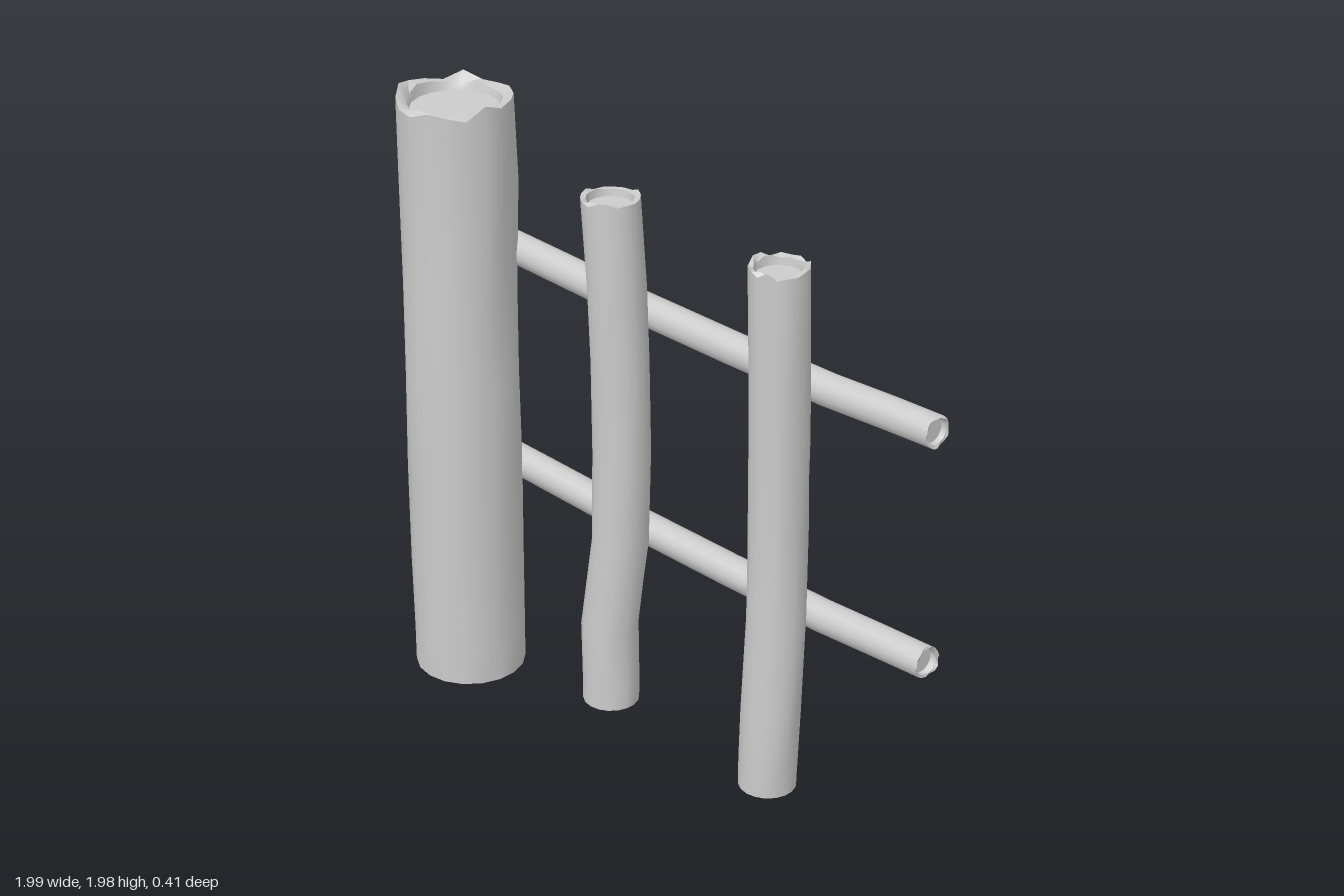
import * as THREE from 'three';
import { toCreasedNormals } from 'three/addons/utils/BufferGeometryUtils.js';

const SIDES = 18;

function seeded(seed) {
  return () => {
    seed = (seed * 16807) % 2147483647;
    return seed / 2147483647;
  };
}

// A log grown along 'x' or 'y': stations are [x, y, z, radius], the far end
// finishes in a splintered rim around a sunken heartwood disc.
function log(name, axis, stations, { jag, sunk, wobble, seed }) {
  const rand = seeded(seed);
  const along = axis === 'y' ? new THREE.Vector3(0, 1, 0) : new THREE.Vector3(1, 0, 0);
  const u = axis === 'y' ? new THREE.Vector3(0, 0, 1) : new THREE.Vector3(0, 1, 0);
  const v = along.clone().cross(u);
  const positions = [];
  const index = [];

  const ring = ([x, y, z, r], offset, rough) => {
    for (let j = 0; j < SIDES; j++) {
      const a = (j / SIDES) * Math.PI * 2;
      const rr = r * (1 + (rand() - 0.5) * rough);
      const p = new THREE.Vector3(x, y, z)
        .addScaledVector(u, Math.cos(a) * rr)
        .addScaledVector(v, Math.sin(a) * rr)
        .addScaledVector(along, offset(j));
      positions.push(p.x, p.y, p.z);
    }
  };

  const last = stations.length - 1;
  const [ex, ey, ez, er] = stations[last];
  const splinters = Array.from({ length: SIDES }, () => (rand() - 0.5) * 2 * jag);
  const flat = () => 0;

  // near end cap, bark, then the rim stepping in and down to the heartwood
  ring([...stations[0].slice(0, 3), 0], flat, 0);
  stations.forEach((s, i) =>
    ring(s, i === last ? (j) => splinters[j] : flat, i === 0 || i === last ? 0 : wobble));
  ring([ex, ey, ez, er * 0.82], (j) => splinters[(j + 1) % SIDES] * 0.6 - jag * 0.4, 0);
  ring([ex, ey, ez, er * 0.78], () => -sunk, 0);
  ring([ex, ey, ez, 0], () => -sunk, 0);

  const rings = positions.length / 3 / SIDES;
  for (let i = 0; i < rings - 1; i++) {
    for (let j = 0; j < SIDES; j++) {
      const k = (j + 1) % SIDES;
      const a = i * SIDES + j, b = i * SIDES + k;
      const c = b + SIDES, d = a + SIDES;
      if (i > 0) index.push(a, b, c);
      else { index.push(a, c, d); continue; }
      if (i < rings - 2) index.push(a, c, d);
    }
  }

  const geometry = new THREE.BufferGeometry();
  geometry.setAttribute('position', new THREE.Float32BufferAttribute(positions, 3));
  geometry.setIndex(index);
  const mesh = new THREE.Mesh(
    toCreasedNormals(geometry, 0.7),
    new THREE.MeshStandardMaterial({ color: 0xcccccc })
  );
  mesh.name = name;
  return mesh;
}

export function createModel() {
  const group = new THREE.Group();
  group.name = 'logFence';

  // thick end post
  group.add(log('endPost', 'y', [
    [-0.813, 0, 0.015, 0.178],
    [-0.813, 0.12, 0.015, 0.178],
    [-0.813, 0.38, 0.013, 0.178],
    [-0.808, 0.72, 0.016, 0.181],
    [-0.81, 1.05, 0.018, 0.179],
    [-0.817, 1.35, 0.013, 0.178],
    [-0.815, 1.68, 0.005, 0.18],
    [-0.812, 1.965, 0.015, 0.177],
  ], { jag: 0.025, sunk: 0.04, wobble: 0.06, seed: 11 }));

  // two upright pickets
  const pickets = [
    { name: 'innerPicket', seed: 29, bend: [-0.163, -0.163, -0.166, -0.142, -0.134, -0.14, -0.143, -0.16] },
    { name: 'outerPicket', seed: 53, bend: [0.515, 0.515, 0.522, 0.516, 0.515, 0.515, 0.515, 0.514] },
  ];
  const heights = [0.13, 0.2, 0.4, 0.7, 1, 1.3, 1.54, 1.83];
  const depths = [0, 0, -0.002, -0.022, -0.024, -0.02, -0.012, -0.006];
  for (const { name, seed, bend } of pickets) {
    const stations = heights.map((y, i) => [bend[i], y, depths[i], 0.088]);
    group.add(log(name, 'y', stations, { jag: 0.01, sunk: 0.03, wobble: 0.07, seed }));
  }

  // two sagging rails behind the pickets
  [['lowerRail', 0.675, 71], ['upperRail', 1.417, 97]].forEach(([name, y, seed]) => {
    const stations = [
      [-0.84, y + 0.024, -0.152, 0.05],
      [-0.6, y + 0.016, -0.153, 0.05],
      [-0.22, y + 0.003, -0.153, 0.05],
      [0.2, y - 0.002, -0.154, 0.05],
      [0.58, y, -0.154, 0.05],
      [0.8, y + 0.009, -0.155, 0.05],
      [0.985, y + 0.016, -0.155, 0.049],
    ];
    group.add(log(name, 'x', stations, { jag: 0.007, sunk: 0.02, wobble: 0.04, seed }));
  });

  return group;
}
